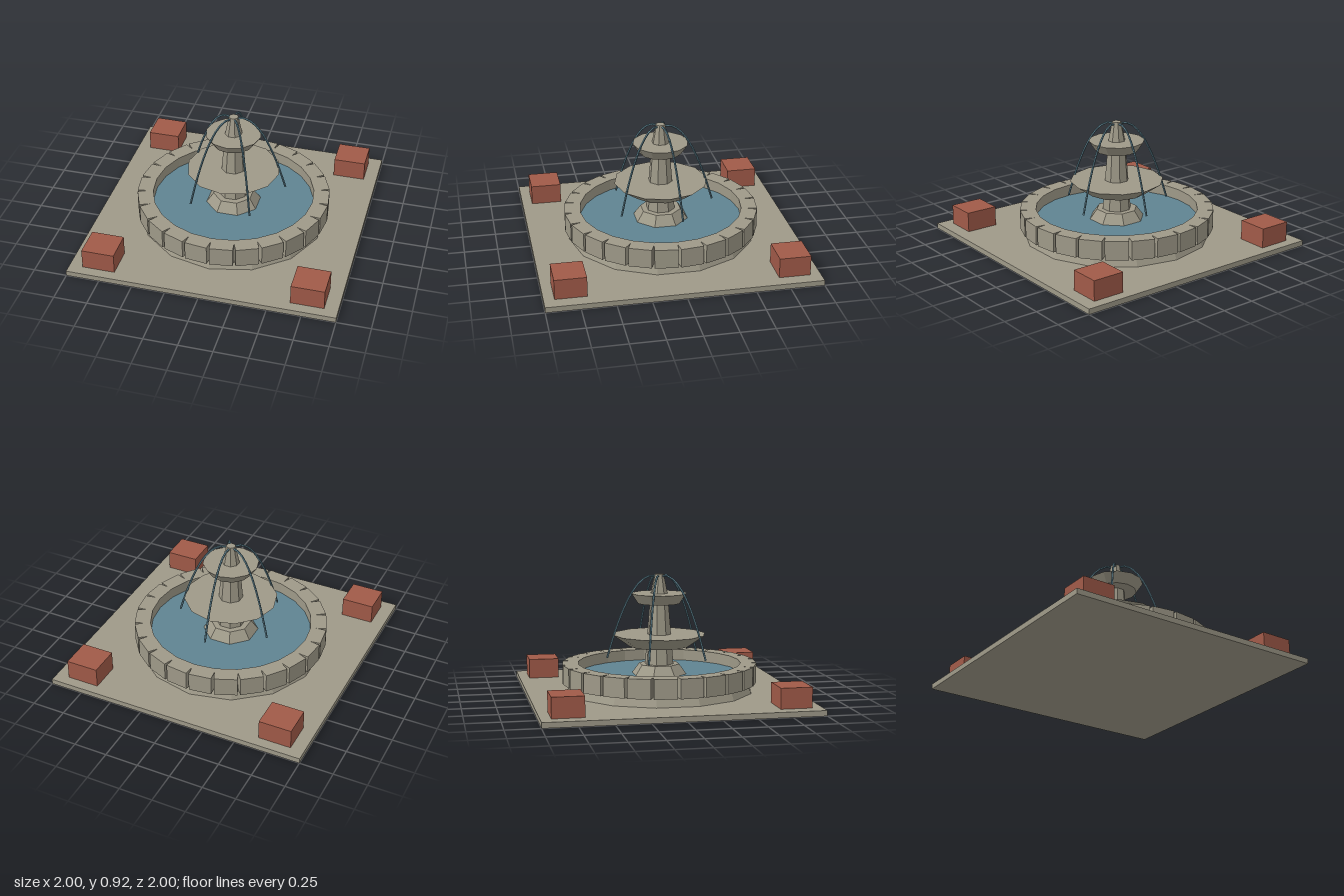
import * as THREE from 'three';

export function createModel() {
  const group = new THREE.Group();
  const material = (name, color) => {
    const m = new THREE.MeshStandardMaterial({ color, flatShading: true });
    m.name = name;
    return m;
  };
  const stone = material('stone', 0x9e9988);
  const brick = material('brick', 0xa05a48);
  const water = material('water', 0x5f8391);

  const add = (name, geometry, mat, x = 0, y = 0, z = 0, parent = group) => {
    const mesh = new THREE.Mesh(geometry, mat);
    mesh.name = name;
    mesh.position.set(x, y, z);
    parent.add(mesh);
    return mesh;
  };
  // Tapered drum standing between two heights
  const drum = (name, rTop, rBottom, y0, y1, sides, mat = stone, start = 0) =>
    add(name, new THREE.CylinderGeometry(rTop, rBottom, y1 - y0, sides, 1, false, start), mat, 0, (y0 + y1) / 2, 0);

  // Paved square and corner blocks
  add('paving', new THREE.BoxGeometry(2, 0.04, 2), stone, 0, 0.02, 0);
  for (const sx of [-1, 1]) {
    for (const sz of [-1, 1]) {
      add('cornerBlock', new THREE.BoxGeometry(0.245, 0.15, 0.232), brick, sx * 0.777, 0.115, sz * 0.807);
    }
  }

  // Basin: plinth, pool and a ring of rim stones with notches between them
  drum('basinPlinth', 0.68, 0.71, 0.04, 0.11, 14);
  drum('poolWater', 0.63, 0.63, 0.105, 0.165, 24, water);
  const rim = new THREE.Group();
  rim.name = 'basinRim';
  group.add(rim);
  const rimStone = new THREE.BoxGeometry(0.171, 0.145, 0.12);
  for (let i = 0; i < 24; i++) {
    const a = (i + 0.5) * Math.PI / 12;
    const block = add('rimStone', rimStone, stone, Math.sin(a) * 0.67, 0.1775, Math.cos(a) * 0.67, rim);
    block.rotation.y = a;
  }

  // Pedestal foot, tapering column and two bowls
  drum('pedestalFoot', 0.155, 0.235, 0.13, 0.24, 8, stone, Math.PI / 8);
  const profile = [[0, 0.2], [0.113, 0.2], [0.066, 0.77], [0.035, 0.92], [0, 0.92]]
    .map(([r, y]) => new THREE.Vector2(r, y));
  add('column', new THREE.LatheGeometry(profile, 8, Math.PI / 8), stone);
  drum('lowerBowl', 0.353, 0.225, 0.375, 0.465, 12);
  drum('upperBowl', 0.21, 0.16, 0.7, 0.775, 12);

  // Five falling jets, each a parabola
  const arc = [0.02, 0.05, 0.09, 0.14, 0.2, 0.26, 0.33, 0.395]
    .map(r => new THREE.Vector3(r, 0.91 - 5.2 * (r - 0.05) ** 2, 0));
  const jet = new THREE.TubeGeometry(new THREE.CatmullRomCurve3(arc), 14, 0.008, 5, false);
  const jetWater = water.clone();
  jetWater.name = 'jetWater';
  jetWater.side = THREE.DoubleSide;
  for (let i = 0; i < 5; i++) {
    add('waterJet', jet, jetWater).rotation.y = THREE.MathUtils.degToRad(14 + 72 * i);
  }

  return group;
}
